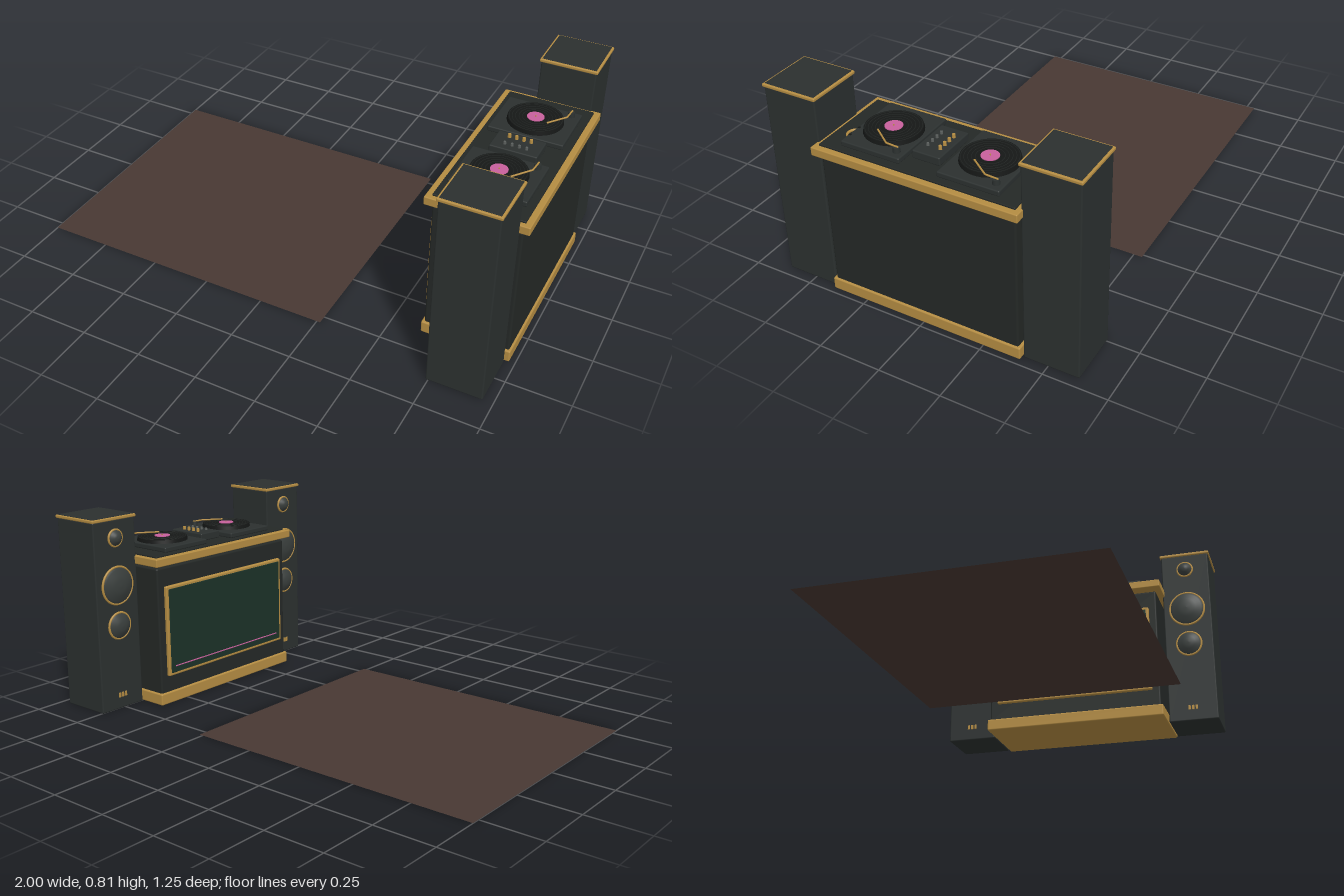
import * as THREE from 'three';
import { RoundedBoxGeometry } from 'three/addons/geometries/RoundedBoxGeometry.js';

const mat = (color) => new THREE.MeshStandardMaterial({ color });
const M = {
  gold: mat(0xb48c42), body: mat(0x242826), cabinet: mat(0x2b302f), vinyl: mat(0x151716),
  cone: mat(0x3a3f3d), pink: mat(0xc8609c), green: mat(0x1b3228), knob: mat(0x5a5e5c),
  floor: mat(0x483833),
};
M.floor.side = THREE.DoubleSide;

function add(parent, name, geometry, material, x = 0, y = 0, z = 0) {
  const mesh = new THREE.Mesh(geometry, material);
  mesh.name = name;
  mesh.position.set(x, y, z);
  parent.add(mesh);
  return mesh;
}

// Softly rounded box given by its extents on each axis
function box(parent, name, material, [x0, x1], [y0, y1], [z0, z1], r = 0.004) {
  const w = x1 - x0, h = y1 - y0, d = z1 - z0;
  const radius = Math.min(r, w * 0.45, h * 0.45, d * 0.45);
  return add(parent, name, new RoundedBoxGeometry(w, h, d, 2, radius), material,
    (x0 + x1) / 2, (y0 + y1) / 2, (z0 + z1) / 2);
}

function group(parent, name, x, y, z) {
  const g = new THREE.Group();
  g.name = name;
  g.position.set(x, y, z);
  parent.add(g);
  return g;
}

// Speaker driver: gold rim and domed cone, facing -x
function driver(parent, y, r) {
  const g = group(parent, 'speakerDriver', 0.74, y, 0);
  g.rotation.z = Math.PI / 2;
  const profile = [[r, 0], [r, 0.006], [r * 0.85, 0.011], [r * 0.55, 0.021], [r * 0.3, 0.025], [0, 0.026]]
    .map(([a, b]) => new THREE.Vector2(a, b));
  add(g, 'cone', new THREE.LatheGeometry(profile, 32), M.cone);
  add(g, 'rim', new THREE.TorusGeometry(r, 0.005, 8, 40).rotateX(Math.PI / 2), M.gold, 0, 0.004, 0);
}

function speaker(parent, z) {
  const g = group(parent, 'speakerTower', 0, 0, z);
  box(g, 'cabinet', M.cabinet, [0.74, 0.96], [0, 0.802], [-0.109, 0.109], 0.006);
  box(g, 'capTrim', M.gold, [0.735, 0.965], [0.8, 0.813], [-0.114, 0.114]);
  box(g, 'capTop', M.cabinet, [0.743, 0.957], [0.806, 0.815], [-0.106, 0.106], 0.001);
  driver(g, 0.728, 0.034);
  driver(g, 0.53, 0.078);
  driver(g, 0.36, 0.055);
  // Small trim bars near the foot
  for (const i of [-1, 0, 1])
    box(g, 'trimBar', M.gold, [0.736, 0.742], [0.05, 0.07], [i * 0.016 - 0.005, i * 0.016 + 0.005], 0.001);
}

function turntable(parent, z) {
  const g = group(parent, 'turntable', 0.802, 0, z);
  box(g, 'deck', M.cabinet, [-0.147, 0.147], [0.643, 0.665], [-0.121, 0.121], 0.005);
  add(g, 'platter', new THREE.CylinderGeometry(0.105, 0.108, 0.016, 48), M.vinyl, 0, 0.672, 0);
  for (const r of [0.05, 0.063, 0.076, 0.089, 0.1])
    add(g, 'groove', new THREE.TorusGeometry(r, 0.0012, 4, 48).rotateX(Math.PI / 2), M.body, 0, 0.68, 0);
  add(g, 'recordLabel', new THREE.CylinderGeometry(0.033, 0.033, 0.003, 32), M.pink, 0, 0.6815, 0);
  add(g, 'spindle', new THREE.CylinderGeometry(0.003, 0.003, 0.008, 10), M.gold, 0, 0.682, 0);
  // Bent tonearm on its pivot
  const path = new THREE.CurvePath();
  const pts = [[0.112, -0.1], [0.108, -0.045], [0.052, 0.03]].map(([x, zz]) => new THREE.Vector3(x, 0.685, zz));
  path.add(new THREE.LineCurve3(pts[0], pts[1]));
  path.add(new THREE.LineCurve3(pts[1], pts[2]));
  add(g, 'tonearm', new THREE.TubeGeometry(path, 24, 0.0035, 8), M.gold);
  add(g, 'tonearmPivot', new THREE.CylinderGeometry(0.012, 0.014, 0.02, 20), M.cabinet, 0.112, 0.674, -0.09);
}

export function createModel() {
  const root = new THREE.Group();
  root.name = 'djBoothWithDanceFloor';

  // Dance floor
  add(root, 'danceFloor', new THREE.PlaneGeometry(1.265, 1.07).rotateX(-Math.PI / 2), M.floor, -0.3675, 0.001, 0);

  // Booth
  const booth = group(root, 'booth', 0, 0, 0);
  box(booth, 'plinth', M.gold, [0.623, 0.978], [0, 0.05], [-0.4, 0.4], 0.006);
  box(booth, 'boothBody', M.body, [0.633, 0.97], [0.04, 0.59], [-0.39, 0.39], 0.008);
  box(booth, 'counter', M.gold, [0.608, 0.998], [0.602, 0.636], [-0.412, 0.412], 0.004);
  box(booth, 'counterMat', M.body, [0.632, 0.975], [0.63, 0.643], [-0.392, 0.392], 0.003);

  // Framed display on the audience side
  box(booth, 'displayFrame', M.gold, [0.619, 0.64], [0.12, 0.51], [-0.355, 0.355], 0.006);
  box(booth, 'display', M.green, [0.617, 0.63], [0.132, 0.498], [-0.343, 0.343], 0.003);
  box(booth, 'displayLine', M.pink, [0.615, 0.62], [0.158, 0.163], [-0.32, 0.32], 0.001);

  // Equipment
  for (const z of [-0.197, 0.195]) turntable(root, z);
  const mixer = group(root, 'mixer', 0.802, 0, 0.002);
  box(mixer, 'mixerCase', M.cabinet, [-0.092, 0.092], [0.643, 0.676], [-0.056, 0.056], 0.005);
  for (let i = 0; i < 4; i++) {
    const x = -0.042 + i * 0.028;
    add(mixer, 'goldKnob', new THREE.CylinderGeometry(0.006, 0.007, 0.016, 14), M.gold, x, 0.682, -0.027);
    add(mixer, 'darkKnob', new THREE.CylinderGeometry(0.005, 0.006, 0.012, 14), M.knob, x, 0.68, 0.023);
  }

  // Headphones resting on the counter
  const phones = group(root, 'headphones', 0.875, 0.652, 0.309);
  add(phones, 'headband', new THREE.TorusGeometry(0.028, 0.005, 8, 24, Math.PI).rotateX(Math.PI / 2), M.gold);
  for (const s of [-1, 1])
    add(phones, 'earCup', new THREE.CylinderGeometry(0.011, 0.011, 0.01, 18).rotateZ(Math.PI / 2), M.vinyl, s * 0.026, 0.003, 0);

  for (const z of [-0.513, 0.513]) speaker(root, z);
  return root;
}
